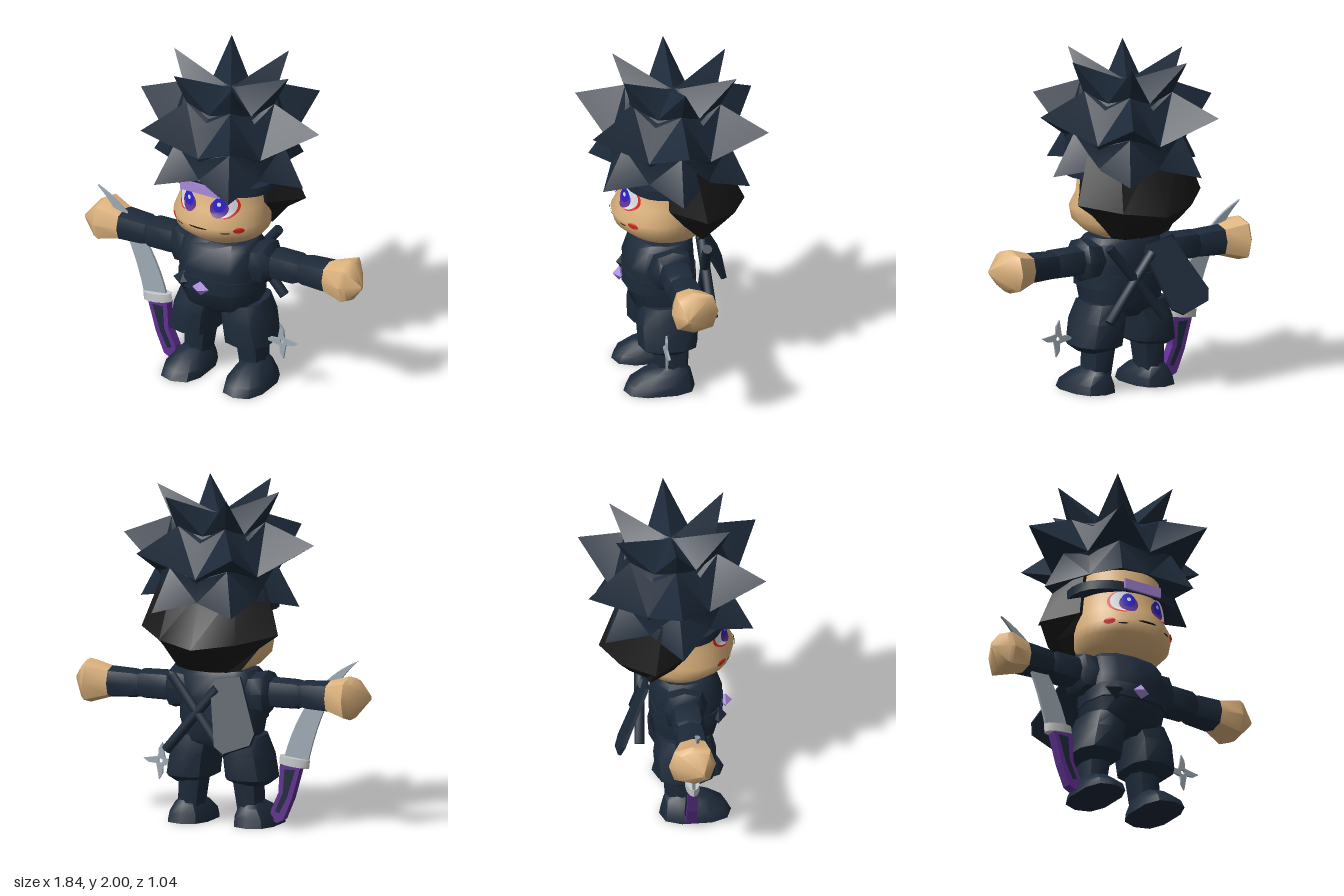
import * as THREE from 'three';
import { toCreasedNormals } from 'three/addons/utils/BufferGeometryUtils.js';

const mat = (name, color, side = THREE.FrontSide) => {
  const m = new THREE.MeshStandardMaterial({ color, side });
  m.name = name;
  return m;
};

// Skin a stack of closed rings (arrays of [x, y, z]) and cap both ends;
// flip picks which way each quad is split
function loft(rings, crease = 0.8, flip = () => false) {
  const n = rings[0].length, pos = rings.flat(2), idx = [];
  for (let i = 0; i < rings.length - 1; i++) {
    for (let j = 0; j < n; j++) {
      const a = i * n + j, b = i * n + (j + 1) % n;
      if (flip(i, j)) idx.push(a, b, a + n, b, b + n, a + n);
      else idx.push(a, b, b + n, a, b + n, a + n);
    }
  }
  [0, rings.length - 1].forEach((r) => {
    const c = pos.length / 3;
    for (let k = 0; k < 3; k++) pos.push(rings[r].reduce((s, p) => s + p[k], 0) / n);
    for (let j = 0; j < n; j++) {
      const a = r * n + j, b = r * n + (j + 1) % n;
      if (r === 0) idx.push(c, b, a); else idx.push(c, a, b);
    }
  });
  const g = new THREE.BufferGeometry();
  g.setAttribute('position', new THREE.Float32BufferAttribute(pos, 3));
  g.setIndex(idx);
  return toCreasedNormals(g, crease);
}

// Oval or squarish ring: height, centre x, half width, front z, back z
function ring([y, cx, hw, zf, zb], n = 12, power = 0.75) {
  const soft = (v) => Math.sign(v) * Math.abs(v) ** power;
  return Array.from({ length: n }, (_, j) => {
    const t = j / n * Math.PI * 2;
    return [cx + hw * soft(Math.sin(t)), y, (zf + zb) / 2 + (zf - zb) / 2 * soft(Math.cos(t))];
  });
}
const body = (rows, n, power, crease) => loft(rows.map((r) => ring(r, n, power)), crease);

// Tier of six pyramid spikes, leaning back a little. Rows read tip radius, tip height,
// valley radius, valley height; tipRow is the row holding the spike points
const spikes = (rows, tipRow) => loft(rows.map(([rt, yt, rv, yv]) => Array.from({ length: 12 }, (_, j) => {
  const t = j * Math.PI / 6, r = j % 2 ? rt : rv;
  return [r * Math.sin(t), j % 2 ? yt : yv, r * Math.cos(t)];
})), 0.6, (i, j) => (j % 2 === 1) !== (i < tipRow)).translate(0, -1.4, 0).rotateX(-0.045).translate(0, 1.4, 0);

// Flat outline given thickness, centred on z
function slab(points, depth) {
  const g = new THREE.ExtrudeGeometry(new THREE.Shape(points.map((p) => new THREE.Vector2(...p))),
    { depth, bevelEnabled: false });
  return g.translate(0, 0, -depth / 2);
}

export function createModel() {
  const model = new THREE.Group();
  model.name = 'ninjaFigure';
  const navy = mat('navy cloth', 0x1d2a3a), black = mat('black hair', 0x1a1a1a, THREE.DoubleSide);
  const skin = mat('skin', 0xe0b57f), lilac = mat('lilac', 0xaa8adb), purple = mat('purple grip', 0x5f3191);
  const blue = mat('blue iris', 0x2a20d0), white = mat('eye white', 0xe6e8f0), red = mat('red paint', 0xdd2c1e);
  const steel = mat('steel', 0xa0abb5), silver = mat('silver', 0xc6c9cb);
  const add = (name, geo, material, parent = model) => {
    const m = new THREE.Mesh(geo, material);
    m.name = name;
    parent.add(m);
    return m;
  };

  // Head
  const headRows = [[0.915, 0, 0.15, 0.19, -0.16], [0.95, 0, 0.23, 0.25, -0.19], [1.01, 0, 0.282, 0.325, -0.2],
    [1.08, 0, 0.29, 0.345, -0.2], [1.17, 0, 0.268, 0.297, -0.23], [1.3, 0, 0.258, 0.28, -0.23], [1.48, 0, 0.24, 0.25, -0.2]];
  add('head', body(headRows, 32, 1, 1.2), skin);

  // Face paint: thin ovals laid on the curve of the head
  const faceZ = (x, y) => {
    const i = Math.max(1, headRows.findIndex((r) => r[0] >= y));
    const a = headRows[i - 1], b = headRows[i], f = (y - a[0]) / (b[0] - a[0]);
    const [hw, zf, zb] = [2, 3, 4].map((k) => a[k] + (b[k] - a[k]) * f);
    return (zf + zb) / 2 + (zf - zb) / 2 * Math.sqrt(Math.max(0, 1 - (x / hw) ** 2));
  };
  const oval = (name, material, cx, cy, rx, ry, layer = 1) => {
    const g = new THREE.RingGeometry(0, 1, 24, 5).scale(rx, ry, 1).translate(cx, cy, 0);
    const p = g.attributes.position;
    for (let i = 0; i < p.count; i++) p.setZ(i, faceZ(p.getX(i), p.getY(i)) + 0.003 + 0.0025 * layer);
    g.computeVertexNormals();
    add(name, g, material);
  };
  for (const s of [1, -1]) {
    oval('eyeRim', red, s * 0.137, 1.208, 0.064, 0.07);
    oval('eyeWhite', white, s * 0.124, 1.212, 0.066, 0.068, 2);
    oval('irisShade', purple, s * 0.098, 1.197, 0.052, 0.054, 3);
    oval('iris', blue, s * 0.1, 1.22, 0.038, 0.044, 4);
    oval('eyeGlint', white, s * 0.1, 1.225, 0.012, 0.013, 5);
    oval('cheekMark', red, s * 0.215, 1.07, 0.024, 0.019);
    oval('cheekLine', black, s * 0.15, 1.055, 0.025, 0.004);
  }
  oval('mouth', black, -0.01, 1.075, 0.06, 0.006);

  // Black hair shell wrapping the back of the head: half columns, mirrored
  const shellRows = [
    [[0.2, 0.96, -0.13], [0.2, 0.94, -0.16], [0.12, 0.925, -0.18], [0, 0.92, -0.18]],
    [[0.27, 1.08, -0.03], [0.31, 1.075, -0.15], [0.2, 1.04, -0.28], [0, 1.025, -0.34]],
    [[0.285, 1.18, 0.05], [0.43, 1.16, -0.15], [0.24, 1.12, -0.34], [0, 1.09, -0.44]],
    [[0.26, 1.46, 0.06], [0.33, 1.44, -0.1], [0.2, 1.42, -0.25], [0, 1.42, -0.28]],
  ].map((half) => [...half, ...half.slice(0, 3).reverse().map(([x, y, z]) => [-x, y, z])]);
  add('backHair', loft(shellRows, 0.5), black);

  // Three tiers of spiky hair, each growing out of the one below
  add('lowerSpikes', spikes([[0.27, 1.42, 0.27, 1.42], [0.5, 1.31, 0.345, 1.37], [0.36, 1.56, 0.35, 1.5],
    [0.25, 1.66, 0.25, 1.6]], 1), navy);
  add('middleSpikes', spikes([[0.3, 1.45, 0.3, 1.45], [0.345, 1.555, 0.34, 1.47], [0.6, 1.68, 0.362, 1.51],
    [0.295, 1.8, 0.28, 1.71], [0.2, 1.82, 0.2, 1.76]], 2), navy);
  add('upperSpikes', spikes([[0.24, 1.66, 0.24, 1.66], [0.285, 1.78, 0.265, 1.7], [0.385, 1.985, 0.245, 1.745],
    [0.04, 1.845, 0.035, 1.835]], 2), navy);

  // Headband with plate
  add('headband', body([[1.28, 0, 0.335, 0.29, -0.2], [1.335, 0, 0.335, 0.29, -0.2]], 24, 0.9), navy);
  add('headbandPlate', new THREE.BoxGeometry(0.25, 0.06, 0.012).translate(-0.02, 1.308, 0.308), lilac);

  // Torso, belt and hips
  add('chest', body([[0.6, 0, 0.24, 0.26, -0.14], [0.75, 0, 0.25, 0.28, -0.14], [0.88, 0, 0.235, 0.235, -0.13],
    [0.915, 0, 0.21, 0.2, -0.11]]), navy);
  add('belt', body([[0.615, 0, 0.25, 0.285, -0.15], [0.7, 0, 0.25, 0.285, -0.15]]), navy);
  add('hips', body([[0.44, 0, 0.12, 0.16, -0.08], [0.5, 0, 0.23, 0.235, -0.14], [0.63, 0, 0.245, 0.27, -0.148]]), navy);
  const gem = (name, material, x, z, sx, sy, sz) =>
    add(name, new THREE.OctahedronGeometry(1).scale(sx, sy, sz).translate(x, 0.65, z), material);
  gem('beltGem', lilac, -0.02, 0.295, 0.055, 0.046, 0.04);
  gem('beltKnot', navy, -0.16, 0.24, 0.075, 0.065, 0.05);

  for (const s of [1, -1]) {
    // Arms run along x; rows read distance, centre, half height, front, back
    const limb = (name, rows, material, dz = 0) =>
      add(name, body(rows, 8).rotateZ(-s * Math.PI / 2).translate(0, 0.79, dz), material);
    const lean = s > 0 ? -0.025 : 0.005;
    limb('shoulder', [[0.17, 0, 0.1, 0.13, -0.08], [0.23, 0, 0.115, 0.17, -0.1], [0.295, 0, 0.128, 0.15, -0.09],
      [0.33, 0, 0.085, 0.12, -0.05]], navy);
    limb('upperArm', [[0.28, 0, 0.08, 0.12, -0.05], [0.34, 0, 0.09, 0.13, -0.06], [0.48, 0, 0.088, 0.13, -0.06],
      [0.52, 0, 0.07, 0.11, -0.04]], navy, lean / 2);
    limb('forearm', [[0.49, 0, 0.075, 0.11, -0.04], [0.53, 0, 0.085, 0.125, -0.055], [0.68, 0, 0.092, 0.13, -0.065]], navy, lean);
    limb('hand', [[0.675, 0, 0.09, 0.125, -0.06], [0.81, 0, 0.13, 0.155, -0.12], [0.84, 0, 0.115, 0.14, -0.08],
      [0.92, 0, 0.012, 0.08, 0.06]], skin, lean);

    // Legs
    add('thigh', body([[0.24, s * 0.2, 0.08, 0.14, -0.06], [0.28, s * 0.185, 0.145, 0.22, -0.13],
      [0.42, s * 0.165, 0.14, 0.228, -0.14], [0.53, s * 0.135, 0.13, 0.2, -0.12]], 10), navy);
    add('shin', body([[0.06, s * 0.19, 0.07, 0.12, -0.07], [0.28, s * 0.17, 0.085, 0.13, -0.085]], 8), navy);
    add('foot', body([[0, s * 0.208, 0.13, 0.31, -0.11], [0.05, s * 0.205, 0.122, 0.285, -0.1],
      [0.11, s * 0.2, 0.085, 0.2, -0.085], [0.145, s * 0.195, 0.055, 0.12, -0.06]], 10), navy);
  }

  // Crossed rods on the back
  const rod = (a, b) => {
    const from = new THREE.Vector3(...a), to = new THREE.Vector3(...b), d = to.clone().sub(from);
    const m = add('backRod', toCreasedNormals(new THREE.CylinderGeometry(0.03, 0.03, d.length(), 8), 0.9), navy);
    m.position.copy(from).add(to).multiplyScalar(0.5);
    m.quaternion.setFromUnitVectors(new THREE.Vector3(0, 1, 0), d.normalize());
  };
  rod([-0.13, 0.45, -0.215], [0.23, 0.89, -0.18]);
  rod([0.25, 0.45, -0.21], [-0.06, 0.83, -0.19]);

  // Tilted flat pouch on the back
  const pouch = add('backPouch', slab([[-0.14, -0.17], [-0.1, -0.23], [0.08, -0.23], [0.13, -0.17],
    [0.1, 0.2], [0.06, 0.23], [-0.1, 0.2]], 0.02), navy);
  const up = new THREE.Vector3(0.13, 0.35, 0.17).normalize();
  const across = new THREE.Vector3(1, -0.37, 0).cross(up).cross(up).negate().normalize();
  pouch.quaternion.setFromRotationMatrix(new THREE.Matrix4().makeBasis(across, up, across.clone().cross(up)));
  pouch.position.set(-0.175, 0.7, -0.26);

  // Curved sword
  const sword = new THREE.Group();
  sword.name = 'sword';
  sword.position.z = 0.06;
  model.add(sword);
  const edge = new THREE.Shape();
  edge.moveTo(-0.53, 0.38);
  edge.quadraticCurveTo(-0.63, 0.82, -0.845, 1.005);
  edge.quadraticCurveTo(-0.51, 0.86, -0.38, 0.4);
  add('blade', new THREE.ExtrudeGeometry(edge, { depth: 0.016, bevelEnabled: false }).translate(0, 0, -0.008), steel, sword);
  const guard = add('guard', toCreasedNormals(new THREE.CylinderGeometry(0.095, 0.095, 0.05, 12).scale(1, 1, 0.45), 0.8), silver, sword);
  guard.position.set(-0.445, 0.385, 0);
  guard.rotation.z = 0.12;
  add('grip', slab([[-0.495, 0.365], [-0.44, 0.17], [-0.385, 0.04], [-0.345, 0.02], [-0.3, 0.045], [-0.31, 0.1],
    [-0.355, 0.2], [-0.365, 0.37]], 0.06), purple, sword);
  add('gripInlay', slab([[-0.46, 0.34], [-0.41, 0.18], [-0.36, 0.08], [-0.335, 0.09], [-0.385, 0.2], [-0.395, 0.34]], 0.068), navy, sword);

  // Throwing star: four leaning points round a centre hole
  const points = [];
  for (let k = 0; k < 4; k++) {
    [[-0.6, 0.032], [-0.26, 0.075], [0, 0.11], [0.35, 0.05]].forEach(([t, r]) => {
      const a = k * Math.PI / 2 + t + 0.1;
      points.push(new THREE.Vector2(r * Math.cos(a), r * Math.sin(a)));
    });
  }
  const starShape = new THREE.Shape(points);
  starShape.holes.push(new THREE.Path().absarc(0, 0, 0.013, 0, Math.PI * 2, true));
  add('throwingStar', new THREE.ExtrudeGeometry(starShape, { depth: 0.012, bevelEnabled: false, curveSegments: 6 })
    .translate(0.41, 0.325, 0.084), steel);

  return model;
}
